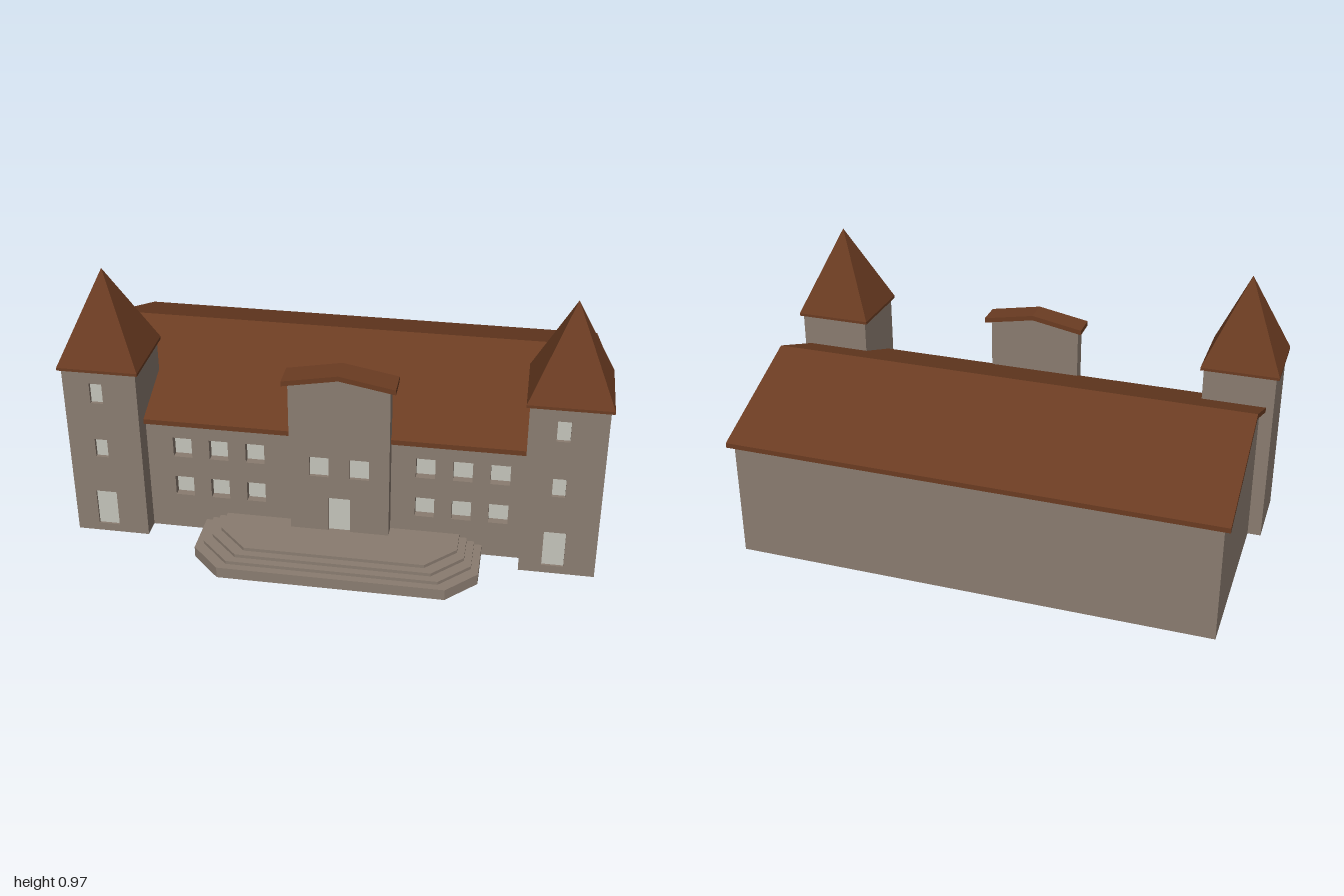
import * as THREE from 'three';

const mat = (name, color) => {
  const m = new THREE.MeshStandardMaterial({ color, side: THREE.DoubleSide });
  m.name = name;
  return m;
};

export function createModel() {
  const stone = mat('stone', 0x8a7c70);
  const tile = mat('roofTile', 0x6b3c22);
  const glass = mat('paleGlass', 0xc4c4ba);

  const model = new THREE.Group();
  model.name = 'twinTowerHall';
  const hall = new THREE.Group(); // x along the facade, z out of the facade
  hall.name = 'hall';
  hall.rotation.y = -THREE.MathUtils.degToRad(50);
  model.add(hall);

  const add = (parent, name, geo, material, x = 0, y = 0, z = 0, ry = 0) => {
    const mesh = new THREE.Mesh(geo, material);
    mesh.name = name;
    mesh.position.set(x, y, z);
    mesh.rotation.y = ry;
    parent.add(mesh);
    return mesh;
  };
  const group = (parent, name, x = 0, y = 0, z = 0) => {
    const g = new THREE.Group();
    g.name = name;
    g.position.set(x, y, z);
    parent.add(g);
    return g;
  };
  const poly = (pts) => new THREE.Shape(pts.map(([x, y]) => new THREE.Vector2(x, y)));
  const rect = (x0, x1, y0, y1) => [[x0, y0], [x1, y0], [x1, y1], [x0, y1]];

  // Flat wall with recessed openings: each is { x, w, y0, y1, d }
  const facade = (parent, name, outline, z, openings) => {
    const shape = poly(outline);
    for (const o of openings) {
      const hole = rect(o.x - o.w / 2, o.x + o.w / 2, o.y0, o.y1);
      shape.holes.push(new THREE.Path(hole.map(([x, y]) => new THREE.Vector2(x, y))));
      const h = o.y1 - o.y0;
      const g = group(parent, 'opening', o.x, (o.y0 + o.y1) / 2, z - o.d / 2);
      for (const s of [-1, 1]) {
        add(g, 'jamb', new THREE.PlaneGeometry(o.d, h), stone, s * o.w / 2, 0, 0, -s * Math.PI / 2);
        const sill = add(g, 'sill', new THREE.PlaneGeometry(o.w, o.d), stone, 0, s * h / 2, 0);
        sill.rotation.x = s * Math.PI / 2;
      }
      add(g, 'pane', new THREE.PlaneGeometry(o.w, h), glass, 0, 0, -o.d / 2);
    }
    add(parent, name, new THREE.ShapeGeometry(shape), stone, 0, 0, z);
  };

  // Folded gable roof of even thickness, extruded along z
  const gableRoof = (half, eave, ridge, thick, depth) => new THREE.ExtrudeGeometry(poly([
    [-half, eave], [0, ridge], [half, eave],
    [half, eave - thick], [0, ridge - thick], [-half, eave - thick],
  ]), { depth, bevelEnabled: false });

  // Main block, open underneath
  const x0 = -0.866, x1 = 0.856, zBack = -0.48, zFront = 0.38, zRidge = -0.05;
  const wallTop = 0.435;
  const rows = [[0.137, 0.213], [0.294, 0.37]];
  const windows = [];
  for (const [y0, y1] of rows)
    for (const x of [-0.533, -0.405, -0.277, 0.312, 0.438, 0.564])
      windows.push({ x, w: 0.066, y0, y1, d: 0.027 });
  const main = group(hall, 'mainBlock');
  facade(main, 'frontWall', rect(x0, x1, 0, wallTop), zFront, windows);
  facade(main, 'backWall', rect(x0, x1, 0, wallTop), zBack, []);
  const gable = [[-0.43, 0], [0.43, 0], [0.43, wallTop], [0, 0.605], [-0.43, wallTop]];
  for (const [x, ry] of [[x0, -Math.PI / 2], [x1, Math.PI / 2]])
    add(main, 'gableWall', new THREE.ShapeGeometry(poly(gable)), stone, x, 0, zRidge, ry);
  add(main, 'mainRoof', gableRoof(0.45, 0.447, 0.624, 0.018, 1.764), tile, -0.887, 0, zRidge, Math.PI / 2);

  // Corner towers
  const a = 0.128, eaveY = 0.645;
  for (const [name, x] of [['rightTower', -0.786], ['leftTower', 0.772]]) {
    const t = group(hall, name, x, 0, 0.319);
    facade(t, 'towerFront', rect(-a, a, 0, eaveY), a, [
      { x: -0.014, w: 0.074, y0: 0.03, y1: 0.167, d: 0.008 },
      { x: -0.014, w: 0.044, y0: 0.31, y1: 0.38, d: 0.012 },
      { x: -0.014, w: 0.044, y0: 0.523, y1: 0.598, d: 0.012 },
    ]);
    facade(t, 'towerBack', rect(-a, a, 0, eaveY), -a, []);
    for (const s of [-1, 1])
      add(t, 'towerSide', new THREE.PlaneGeometry(2 * a, eaveY), stone, s * a, eaveY / 2, 0, s * Math.PI / 2);
    add(t, 'towerEave', new THREE.BoxGeometry(0.278, 0.01, 0.278), tile, 0, eaveY + 0.005, 0);
    const spire = new THREE.ConeGeometry(0.139 * Math.SQRT2, 0.312, 4).toNonIndexed();
    spire.computeVertexNormals();
    add(t, 'towerSpire', spire, tile, 0, 0.811, 0, Math.PI / 4);
  }

  // Central entrance bay
  const bay = group(hall, 'entranceBay', 0.024, 0, 0);
  const b = 0.171, bayTop = 0.646, bayFront = 0.426, bayBack = 0.374;
  const bayOutline = [[-b, 0], [b, 0], [b, bayTop], [0, 0.677], [-b, bayTop]];
  facade(bay, 'bayFront', bayOutline, bayFront, [
    { x: 0, w: 0.076, y0: 0.076, y1: 0.21, d: 0.01 },
    { x: -0.069, w: 0.066, y0: 0.294, y1: 0.37, d: 0.012 },
    { x: 0.069, w: 0.066, y0: 0.294, y1: 0.37, d: 0.012 },
  ]);
  facade(bay, 'bayBack', bayOutline, bayBack, []);
  for (const s of [-1, 1])
    add(bay, 'baySide', new THREE.PlaneGeometry(bayFront - bayBack, bayTop), stone,
      s * b, bayTop / 2, (bayFront + bayBack) / 2, s * Math.PI / 2);
  add(bay, 'bayRoof', gableRoof(0.19, 0.66, 0.695, 0.018, 0.095), tile, 0, 0, 0.345);

  // Entrance steps: an open shell of risers and treads with chamfered corners
  const outline = (i) => {
    const w = 0.488 - i * 0.026, f = 0.649 - i * 0.0255, c = 0.102;
    return [[-w, zFront], [-w, f - c], [-w + c, f], [w - c, f], [w, f - c], [w, zFront]];
  };
  const rings = [];
  for (let i = 0; i < 4; i++) {
    const top = 0.04 + i * 0.012;
    const bottom = i ? top - 0.012 : 0;
    for (const y of [bottom, top]) rings.push(outline(i).map(([x, z]) => [x, y, z]));
  }
  const pos = [];
  for (let r = 0; r + 1 < rings.length; r++)
    for (let k = 0; k < 5; k++) {
      const [p, q, u, v] = [rings[r][k], rings[r][k + 1], rings[r + 1][k + 1], rings[r + 1][k]];
      pos.push(...p, ...q, ...u, ...p, ...u, ...v);
    }
  const shell = new THREE.BufferGeometry();
  shell.setAttribute('position', new THREE.Float32BufferAttribute(pos, 3));
  shell.computeVertexNormals();
  const steps = group(hall, 'entranceSteps', 0.026, 0, 0);
  add(steps, 'risersAndTreads', shell, stone);
  const landing = new THREE.ShapeGeometry(poly(outline(3).map(([x, z]) => [x, -z])));
  landing.rotateX(-Math.PI / 2);
  add(steps, 'landing', landing, stone, 0, 0.076, 0);

  return model;
}
